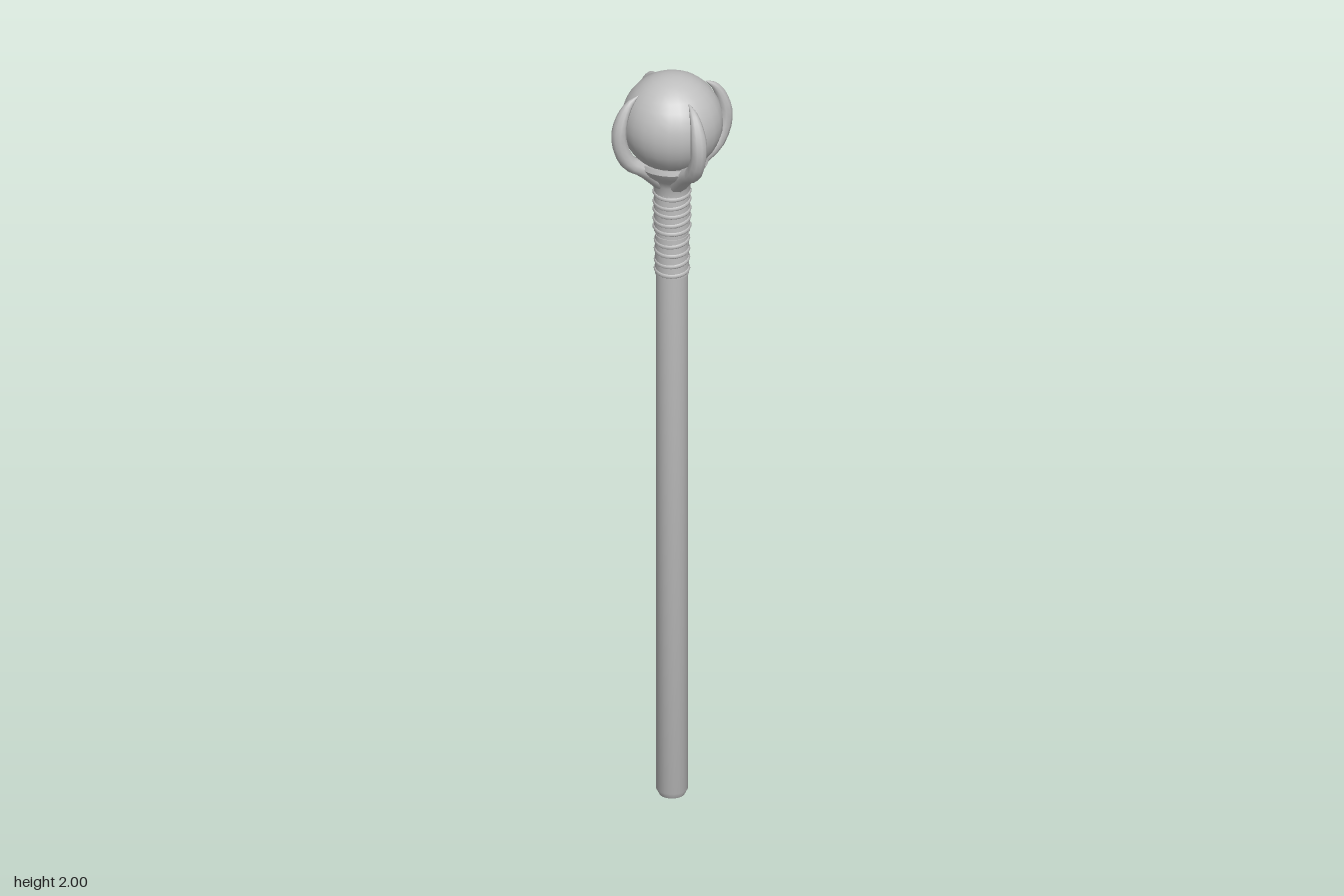
import * as THREE from 'three';
import { toCreasedNormals } from 'three/addons/utils/BufferGeometryUtils.js';

const stone = new THREE.MeshStandardMaterial({ color: 0xbfbfbf });
stone.name = 'pale grey';

function part(name, geometry, parent) {
  const mesh = new THREE.Mesh(geometry, stone);
  mesh.name = name;
  parent.add(mesh);
  return mesh;
}

// Turned part from [radius, height] pairs, listed from bottom to top
function turned(profile, sides = 20) {
  const points = profile.map(([r, y]) => new THREE.Vector2(r, y));
  return toCreasedNormals(new THREE.LatheGeometry(points, sides), 0.6);
}

// Curved talon lofted from oval sections: [radius, height, half depth, half width]
function talonGeometry(sections, sides = 10) {
  const curve = new THREE.CatmullRomCurve3(sections.map(([r, y]) => new THREE.Vector3(r, y, 0)));
  const sizes = new THREE.CatmullRomCurve3(sections.map(([, , d, w]) => new THREE.Vector3(d, w, 0)));
  const rings = 16, positions = [], index = [];
  for (let i = 0; i <= rings; i++) {
    const c = curve.getPoint(i / rings), t = curve.getTangent(i / rings), s = sizes.getPoint(i / rings);
    for (let j = 0; j < sides; j++) {
      const a = (j / sides) * Math.PI * 2, d = Math.cos(a) * s.x;
      positions.push(c.x + t.y * d, c.y - t.x * d, -Math.sin(a) * s.y);
      if (i === rings) continue;
      const p = i * sides + j, q = i * sides + ((j + 1) % sides);
      index.push(p, q, p + sides, q, q + sides, p + sides);
    }
  }
  const geometry = new THREE.BufferGeometry();
  geometry.setAttribute('position', new THREE.Float32BufferAttribute(positions, 3));
  geometry.setIndex(index);
  geometry.computeVertexNormals();
  return geometry;
}

// Sleeve wound with slightly tilted cords
function wrap(name, y0, y1, radius, cords, parent) {
  const group = new THREE.Group();
  group.name = name;
  parent.add(group);
  part('sleeve', turned([[0, y0], [radius, y0], [radius, y1], [0, y1]]), group);
  for (let i = 0; i < cords; i++) {
    const cord = part('cord', new THREE.TorusGeometry(radius - 0.003, 0.0065, 6, 24), group);
    cord.position.y = y0 + ((i + 0.5) / cords) * (y1 - y0);
    cord.rotation.set(Math.PI / 2 + 0.1, i % 2 ? 0.14 : 0.07, 0);
  }
}

export function createModel() {
  const model = new THREE.Group();
  model.name = 'clawStaff';

  // Long pole with a bevelled foot
  part('pole', turned([[0, 0], [0.032, 0], [0.04, 0.016], [0.04, 1.72], [0, 1.72]]), model);

  // Grip bindings below the head
  wrap('lowerBinding', 1.45, 1.56, 0.042, 4, model);
  wrap('upperBinding', 1.57, 1.69, 0.045, 5, model);

  // Flared cup and the orb it holds
  part('cup', turned([[0.045, 1.68], [0.047, 1.705], [0.058, 1.725], [0.078, 1.743],
    [0.091, 1.763], [0.088, 1.776], [0.07, 1.77]], 24), model);
  part('orb', new THREE.SphereGeometry(0.127, 24, 16), model).position.y = 1.873;

  // Four talons gripping the orb
  const talon = talonGeometry([
    [0.025, 1.71, 0.025, 0.03], [0.075, 1.755, 0.022, 0.027], [0.118, 1.782, 0.02, 0.021],
    [0.142, 1.83, 0.02, 0.02], [0.146, 1.875, 0.018, 0.021], [0.134, 1.918, 0.014, 0.016],
    [0.116, 1.946, 0.009, 0.01], [0.092, 1.963, 0.001, 0.001]]);
  for (let i = 0; i < 4; i++) {
    const claw = part('talon', talon, model);
    claw.rotation.y = (i * Math.PI) / 2;
    if (i % 2) claw.scale.x = 1.03;
  }
  return model;
}
